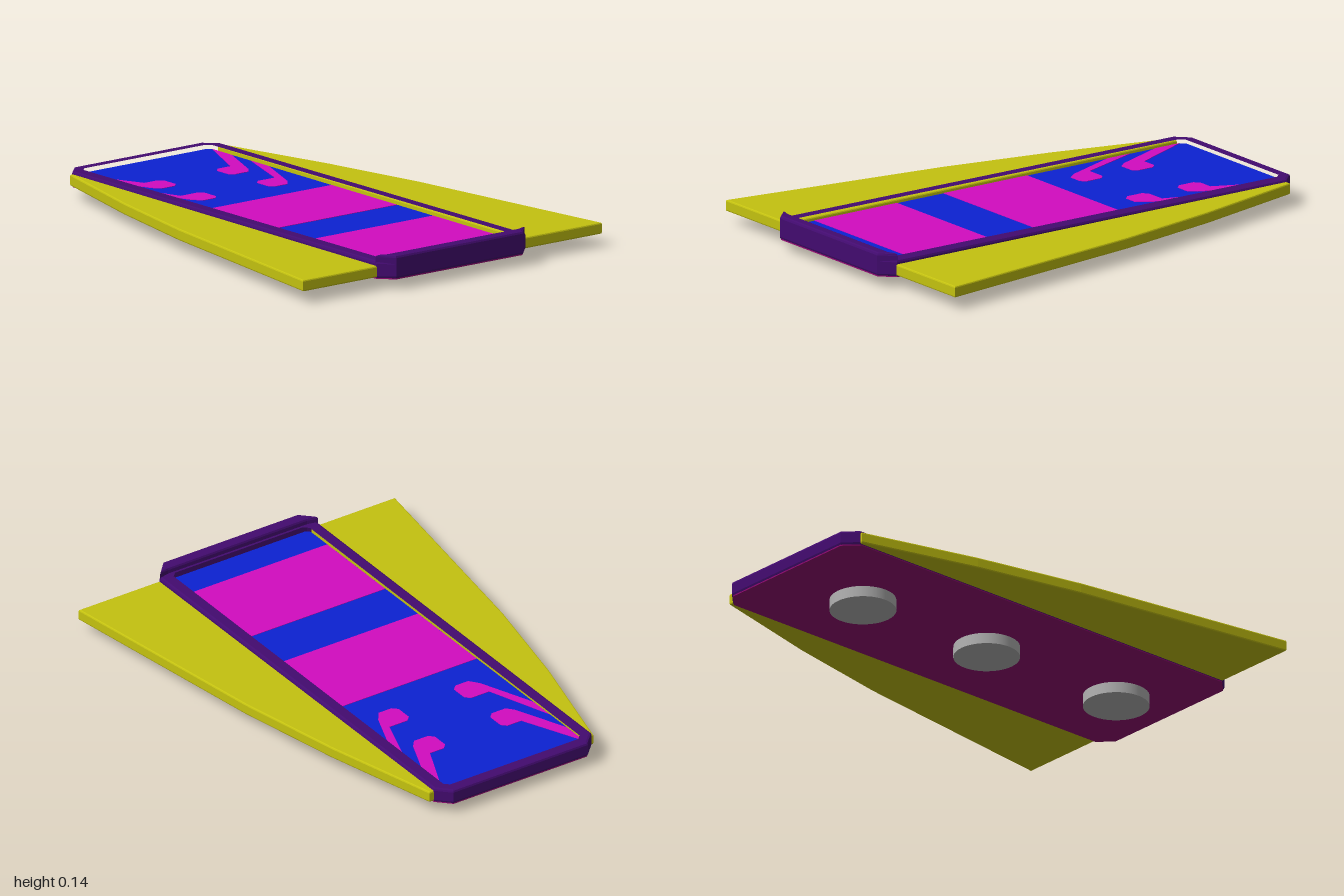
import * as THREE from 'three';

const CX = -0.006; // the tray sits a hair off centre

const mat = (name, color) => {
  const m = new THREE.MeshStandardMaterial({ color });
  m.name = name;
  return m;
};

// Rectangle with cut corners, as [x, z] points
const cutRect = (x0, x1, z0, z1, c) => [
  [x0 + c, z0], [x1 - c, z0], [x1, z0 + c], [x1, z1 - c],
  [x1 - c, z1], [x0 + c, z1], [x0, z1 - c], [x0, z0 + c],
];

const toVectors = (pts) => pts.map(([x, z]) => new THREE.Vector2(x, -z));

// Upright slab from a plan outline, between heights y0 and y1
function slab(pts, y0, y1, bevel = 0, hole = null) {
  const shape = new THREE.Shape(toVectors(pts));
  if (hole) shape.holes.push(new THREE.Path(toVectors(hole)));
  const geo = new THREE.ExtrudeGeometry(shape, {
    depth: y1 - y0 - 2 * bevel,
    bevelEnabled: bevel > 0,
    bevelSize: bevel,
    bevelThickness: bevel,
    bevelOffset: -bevel,
    bevelSegments: 2,
  });
  geo.rotateX(-Math.PI / 2);
  geo.translate(0, y0 + bevel, 0);
  return geo;
}

export function createModel() {
  const purple = mat('purple', 0x430b70);
  const blue = mat('blue', 0x0c22d2);
  const magenta = mat('magenta', 0xd20cc0);
  const plum = mat('plum', 0x940873);
  const yellow = mat('yellow', 0xc4c210);
  const grey = mat('grey', 0xb4b4b4);

  const model = new THREE.Group();
  const add = (name, geo, material) => {
    const mesh = new THREE.Mesh(geo, material);
    mesh.name = name;
    model.add(mesh);
    return mesh;
  };

  // Tray: base plate, rim sloping down to the back, raised front lip
  const outer = cutRect(CX - 0.371, CX + 0.371, -1, 1, 0.055);
  const inner = cutRect(-0.336, 0.324, -0.965, 0.95, 0.025);
  add('basePlate', slab(cutRect(CX - 0.368, CX + 0.368, -0.997, 0.997, 0.055), 0.044, 0.07), plum);

  const rim = slab(outer, 0.046, 0.115, 0.01, inner);
  const p = rim.attributes.position;
  for (let i = 0; i < p.count; i++) {
    if (p.getY(i) > 0.08) p.setY(i, p.getY(i) - 0.004 * (1 - p.getZ(i)));
  }
  rim.computeVertexNormals();
  add('rim', rim, purple);

  const l = CX - 0.371, r = CX + 0.371;
  add('frontLip', slab([
    [l, 0.94], [l + 0.045, 0.95], [r - 0.045, 0.95], [r, 0.94],
    [r - 0.055, 1], [l + 0.055, 1],
  ], 0.06, 0.14, 0.01), purple);

  // Deck with painted bands
  add('deck', slab(cutRect(-0.34, 0.33, -0.97, 0.955, 0.02), 0.068, 0.085), blue);
  for (const [z0, z1] of [[-0.21, 0.195], [0.42, 0.82]]) {
    const band = new THREE.BoxGeometry(0.664, 0.003, z1 - z0);
    band.translate(CX, 0.0855, (z0 + z1) / 2);
    add('band', band, magenta);
  }

  // Angled marks with square ends, mirrored pairs
  const marks = [
    [[0.332, -0.95], [0.215, -0.69], [0.15, -0.69], [0.13, -0.67], [0.13, -0.6],
      [0.15, -0.58], [0.215, -0.58], [0.24, -0.61], [0.332, -0.83]],
    [[0.332, -0.71], [0.235, -0.44], [0.15, -0.44], [0.13, -0.42], [0.13, -0.35],
      [0.15, -0.33], [0.21, -0.33], [0.24, -0.37], [0.332, -0.6]],
  ];
  // Swept side wings
  const wing = [[0.35, -0.945], [0.385, -0.945], [0.512, -0.455], [0.605, 0], [0.743, 0.947], [0.35, 0.947]];
  for (const [side, s] of [['left', 1], ['right', -1]]) {
    for (const mark of marks) {
      add(side + 'Mark', slab(mark.map(([x, z]) => [CX + s * x, z]), 0.084, 0.087), magenta);
    }
    add(side + 'Wing', slab(wing.map(([x, z]) => [s * x, z]), 0.051, 0.097, 0.006), yellow);
  }

  // Round feet under the base
  for (const z of [0.72, 0.045, -0.6]) {
    const foot = new THREE.CylinderGeometry(0.13, 0.13, 0.045, 40);
    foot.translate(CX, 0.0225, z);
    add('foot', foot, grey);
  }
  return model;
}
